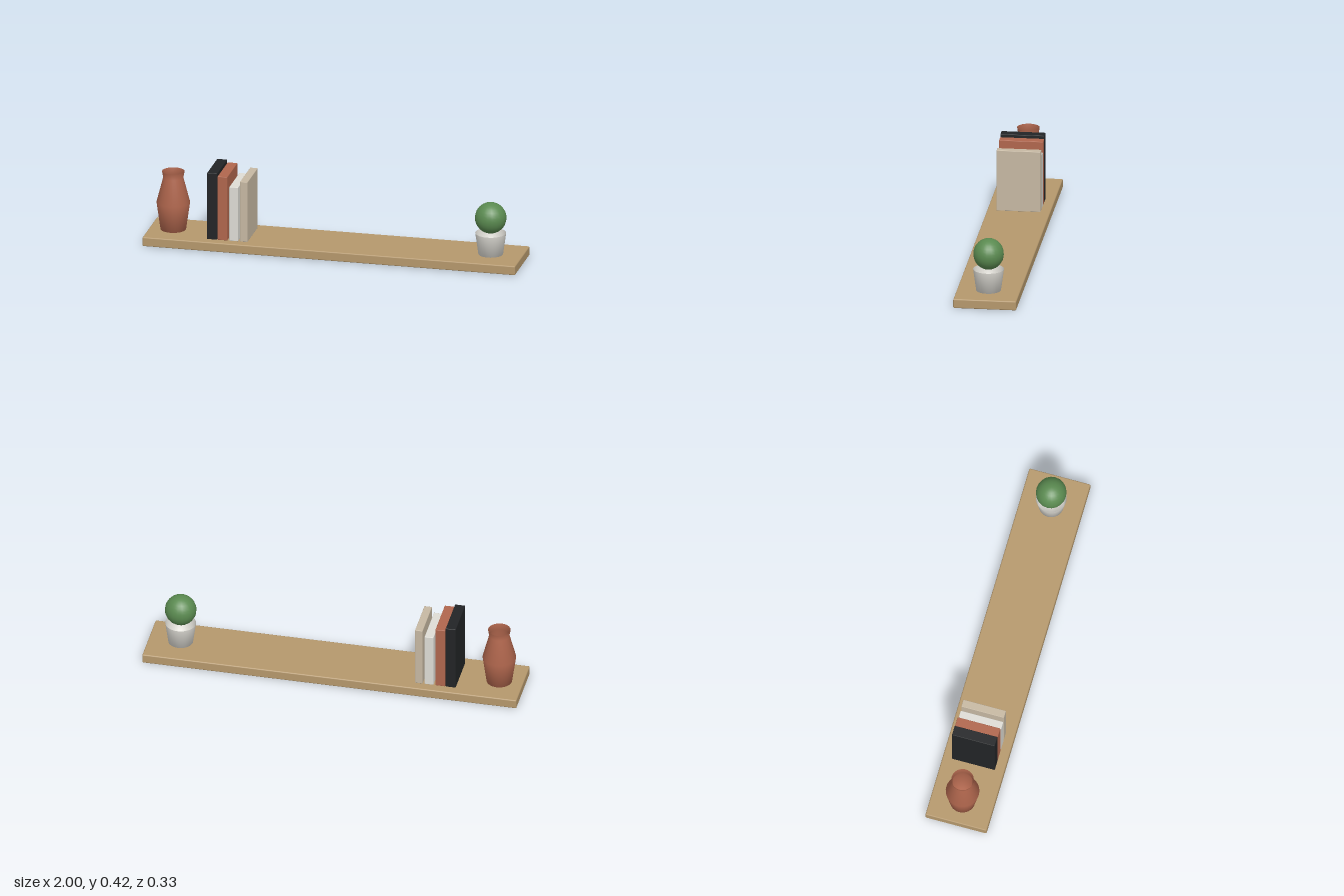
import * as THREE from 'three';
import { RoundedBoxGeometry } from 'three/addons/geometries/RoundedBoxGeometry.js';

function material(name, color, side = THREE.FrontSide) {
  const m = new THREE.MeshStandardMaterial({ color, side });
  m.name = name;
  return m;
}

export function createModel() {
  const model = new THREE.Group();
  model.name = 'decoratedShelf';

  const wood = material('oak wood', 0xb5986c);
  const clay = material('terracotta', 0xb0664d, THREE.DoubleSide);
  const white = material('off white', 0xdedcd5, THREE.DoubleSide);
  const black = material('charcoal', 0x222426);
  const beige = material('beige', 0xc6b8a2);
  const green = material('leaf green', 0x5a8a50);

  const add = (name, geometry, mat, x, y, z = 0) => {
    const mesh = new THREE.Mesh(geometry, mat);
    mesh.name = name;
    mesh.position.set(x, y, z);
    model.add(mesh);
    return mesh;
  };
  const lathe = (points, segments) =>
    new THREE.LatheGeometry(points.map(([r, y]) => new THREE.Vector2(r, y)), segments);

  const top = 0.05;

  // Plank with chamfered edges
  add('shelfBoard', new RoundedBoxGeometry(2, top, 0.332, 1, 0.006), wood, 0, top / 2);

  // Open vase with floor, belly, neck and flared lip
  add('vase', lathe([[0, 0.001], [0.067, 0.001], [0.088, 0.15], [0.053, 0.285], [0.059, 0.32]], 32),
    clay, -0.873, top);

  // Row of upright books: left edge, right edge, height
  const books = [
    ['blackBook', -0.665, -0.611, 0.366, black],
    ['terracottaBook', -0.609, -0.556, 0.351, clay],
    ['whiteBook', -0.546, -0.498, 0.298, white],
    ['beigeBook', -0.488, -0.447, 0.332, beige],
  ];
  for (const [name, x0, x1, height, mat] of books) {
    add(name, new RoundedBoxGeometry(x1 - x0, height, 0.232, 1, 0.003), mat,
      (x0 + x1) / 2, top + height / 2);
  }

  // Tapered open pot with a clipped round bush
  add('plantPot', lathe([[0, 0.001], [0.065, 0.001], [0.081, 0.117]], 32), white, 0.83, top);
  const bush = add('roundBush', new THREE.SphereGeometry(0.083, 20, 16), green, 0.83, 0.25);
  bush.scale.z = 0.965;

  return model;
}
